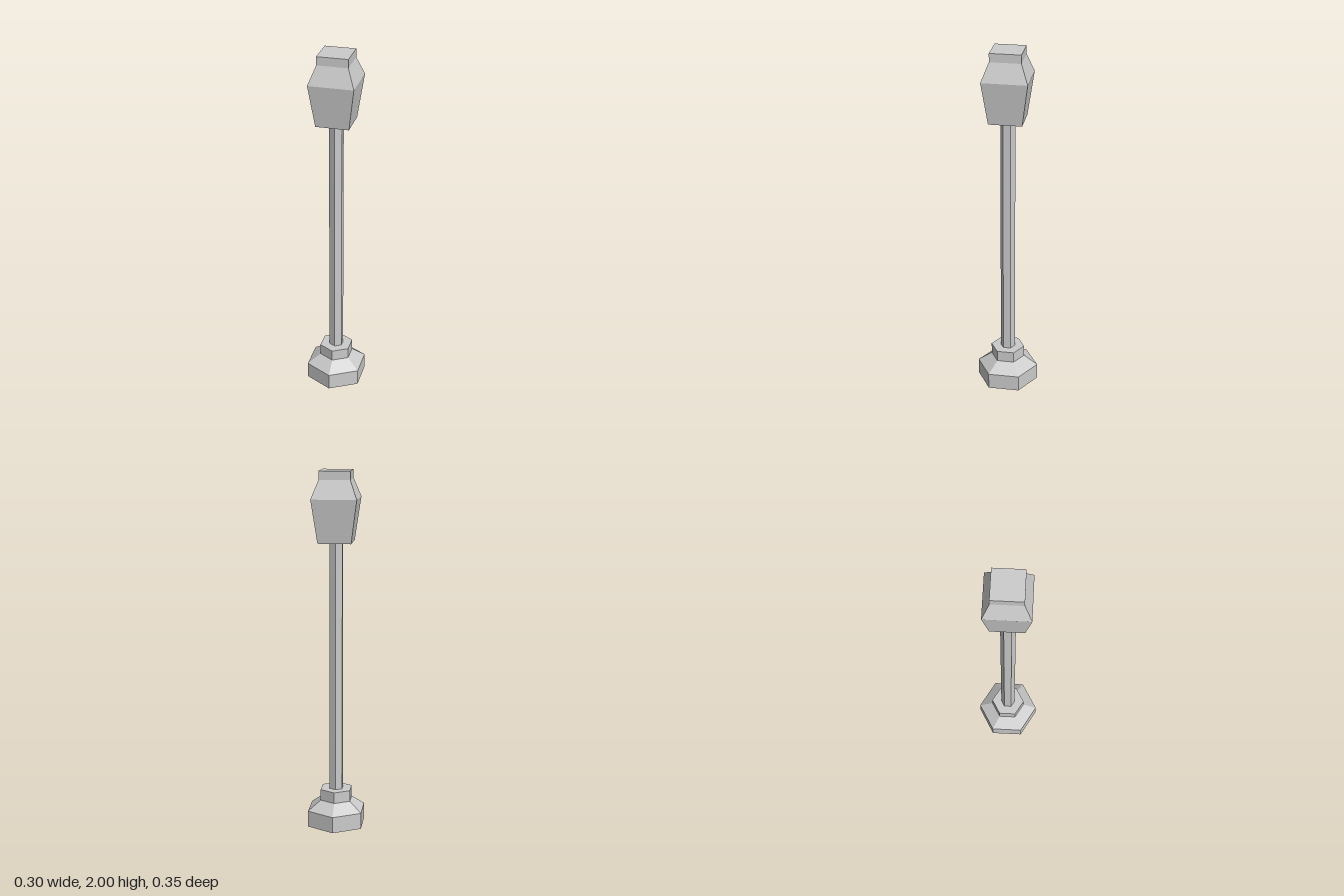
import * as THREE from 'three';

const material = new THREE.MeshStandardMaterial({ color: 0xcccccc, flatShading: true });

// Closed faceted solid from [radius, height] pairs, listed bottom to top
function facetedSolid(name, profile, sides, startAngle = 0) {
  const points = profile.map(([r, y]) => new THREE.Vector2(r, y));
  points.unshift(new THREE.Vector2(0, profile[0][1]));
  points.push(new THREE.Vector2(0, profile[profile.length - 1][1]));
  const mesh = new THREE.Mesh(new THREE.LatheGeometry(points, sides, startAngle), material);
  mesh.name = name;
  return mesh;
}

export function createModel() {
  const group = new THREE.Group();
  group.name = 'lampPost';

  // Hexagonal foot: plinth, slope and collar
  group.add(facetedSolid('base', [[0.174, 0], [0.174, 0.092], [0.096, 0.147], [0.096, 0.21]], 6));

  // Hexagonal pole, running from the collar to the lantern
  const pole = new THREE.Mesh(new THREE.CylinderGeometry(0.041, 0.041, 1.403, 6), material);
  pole.name = 'pole';
  pole.position.y = 0.21 + 1.403 / 2;
  group.add(pole);

  // Square lantern: flared body, sloping shoulder and cap (half widths)
  const lantern = [[0.091, 1.613], [0.124, 1.851], [0.085, 1.953], [0.085, 2]];
  group.add(facetedSolid('lantern', lantern.map(([w, y]) => [w * Math.SQRT2, y]), 4, Math.PI / 4));

  return group;
}
